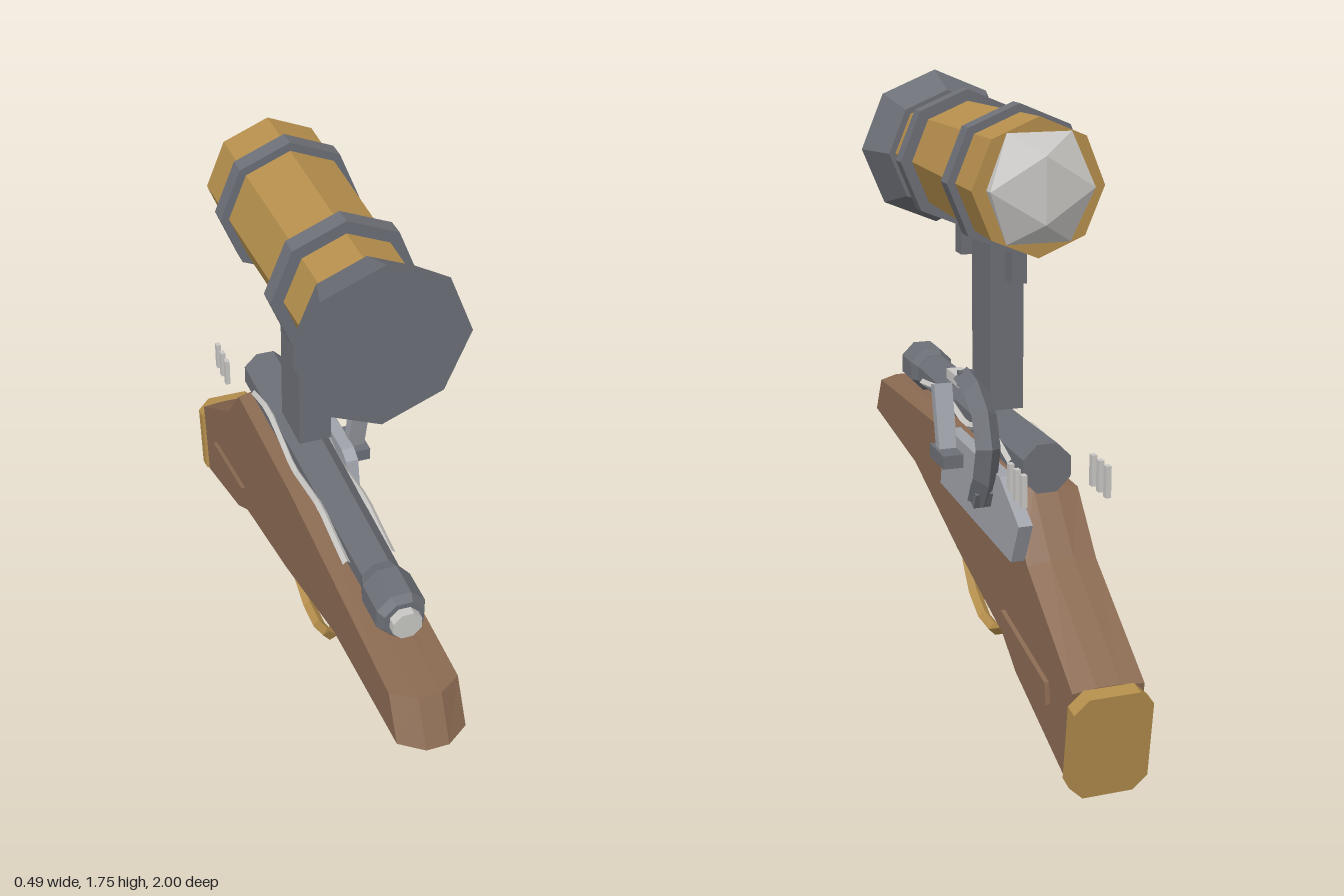
import * as THREE from 'three';

const mat = (name, color) => Object.assign(new THREE.MeshStandardMaterial({ color, flatShading: true }), { name });

export function createModel() {
  const model = new THREE.Group();
  model.name = 'scopedFlintlock';
  const wood = mat('wood', 0x8a6a52), brass = mat('brass', 0xb48e4c), steel = mat('darkSteel', 0x6c6f76);
  const plate = mat('lightSteel', 0xa0a3ab), silver = mat('silver', 0xc8c7c4);

  const add = (name, geo, material, x = 0, y = 0, z = 0) => {
    const mesh = new THREE.Mesh(geo, material);
    mesh.name = name;
    mesh.position.set(x, y, z);
    model.add(mesh);
    return mesh;
  };
  const box = (name, material, w, h, d, x, y, z) => add(name, new THREE.BoxGeometry(w, h, d), material, x, y, z);
  // eight-sided piece along z, from z0 (back) to z1 (front)
  const octagon = (name, material, y, z0, r0, z1, r1, turn = 0) =>
    add(name, new THREE.CylinderGeometry(r1, r0, z1 - z0, 8).rotateY(turn).rotateX(Math.PI / 2), material, 0, y, (z0 + z1) / 2);
  // side profile of [z, y] points, extruded across x and centred on it
  const profile = (points, width, steps = 1) => {
    const shape = new THREE.Shape(points.map(p => new THREE.Vector2(...p)));
    return new THREE.ExtrudeGeometry(shape, { depth: width, steps, bevelEnabled: false })
      .translate(0, 0, -width / 2).rotateY(-Math.PI / 2);
  };
  const tube = (name, material, points, radius, segments) => {
    const curve = new THREE.CatmullRomCurve3(points.map(p => new THREE.Vector3(...p)));
    return add(name, new THREE.TubeGeometry(curve, segments, radius, 4), material);
  };

  // Wooden stock: outer layers pulled in to chamfer the nose and long edges
  const stock = profile([
    [1, 0.52], [0.93, 0.65], [0.04, 0.695], [-0.48, 0.695], [-0.62, 0.53], [-0.955, 0.31],
    [-0.915, 0.035], [-0.53, 0.16], [-0.42, 0.23], [0, 0.33], [0.46, 0.47],
  ], 0.2, 3);
  const pos = stock.attributes.position;
  for (let i = 0; i < pos.count; i++) {
    if (Math.abs(pos.getX(i)) < 0.09) continue;
    const z = pos.getZ(i), mid = 0.51 + 0.215 * z - 0.145 * z * z;
    pos.setY(i, mid + (pos.getY(i) - mid) * 0.95);
    if (z > 0.8) pos.setZ(i, z - 0.045);
  }
  stock.computeVertexNormals();
  add('stock', stock, wood);
  for (const s of [1, -1]) {
    add('stockInlay', profile([[-0.44, 0.32], [-0.5, 0.27], [-0.8, 0.2], [-0.79, 0.26]], 0.03), wood, s * 0.098);
  }

  // Butt plate with cut corners
  const butt = new THREE.Shape([
    [-0.11, -0.11], [-0.07, -0.15], [0.07, -0.15], [0.11, -0.11],
    [0.11, 0.11], [0.07, 0.15], [-0.07, 0.15], [-0.11, 0.11],
  ].map(p => new THREE.Vector2(...p)));
  add('buttPlate', new THREE.ExtrudeGeometry(butt, { depth: 0.045, bevelEnabled: false }).translate(0, 0, -0.0225),
    brass, 0, 0.157, -0.958).rotation.x = -0.13;

  // Barrel and muzzle
  const flat = Math.PI / 8;
  octagon('barrel', steel, 0.75, -0.5, 0.076, 0.6, 0.06, flat);
  octagon('muzzleNeck', steel, 0.75, 0.56, 0.062, 0.6, 0.076, flat);
  octagon('muzzle', steel, 0.75, 0.6, 0.076, 0.71, 0.076, flat);
  octagon('muzzleLip', steel, 0.75, 0.71, 0.076, 0.735, 0.062, flat);
  octagon('muzzleTip', silver, 0.75, 0.73, 0.045, 0.762, 0.045, flat);

  // Wavy ornament and pins on both sides
  for (const s of [1, -1]) {
    tube('barrelOrnament', silver, [
      [0.47, 0.745], [0.38, 0.757], [0.25, 0.775], [0.1, 0.752], [0, 0.737],
      [-0.12, 0.762], [-0.25, 0.778], [-0.4, 0.742],
    ].map(([z, y]) => [s * 0.068, y, z]), 0.012, 14);
    for (const z of [-0.54, -0.59, -0.64]) box('pin', silver, 0.015, 0.09, 0.02, s * 0.12, 0.745, z);
  }

  // Scope
  const sy = 1.51;
  octagon('scopeTube', brass, sy, -0.42, 0.19, 0.4, 0.17);
  octagon('scopeBell', steel, sy, 0.395, 0.19, 0.53, 0.243);
  for (const z of [0.22, -0.24]) {
    octagon('scopeRing', steel, sy, z - 0.028, 0.21, z + 0.028, 0.21);
    box('ringLug', steel, 0.045, 0.14, 0.06, 0, 1.29, z);
  }
  add('scopeLens', new THREE.IcosahedronGeometry(0.175, 0).scale(1, 1, 0.37), silver, 0, sy, -0.42);
  box('scopePost', steel, 0.1, 0.56, 0.17, 0, 1.105, -0.083);

  // Lock: side plate, pan, striking plate, hammer and flint
  add('lockPlate', profile([
    [0.05, 0.542], [0.01, 0.72], [-0.03, 0.74], [-0.5, 0.74], [-0.655, 0.65], [-0.595, 0.528],
  ], 0.04), plate, 0.118);
  box('pan', steel, 0.07, 0.04, 0.135, 0.165, 0.685, -0.115);
  box('strikingPlate', plate, 0.055, 0.21, 0.035, 0.163, 0.785, -0.075).rotation.x = 0.25;
  tube('hammer', steel, [
    [0.165, 0.65, -0.41], [0.165, 0.8, -0.485], [0.16, 0.925, -0.41], [0.16, 0.962, -0.27],
  ], 0.036, 5);
  box('hammerHead', steel, 0.045, 0.045, 0.02, 0.16, 0.962, -0.275);
  box('hammerFoot', steel, 0.05, 0.05, 0.05, 0.165, 0.665, -0.42).rotation.x = -0.45;
  box('flint', silver, 0.045, 0.03, 0.11, 0.16, 0.95, -0.22);

  // Trigger and guard
  tube('trigger', plate, [[0, 0.35, 0.01], [0, 0.28, -0.035], [0, 0.195, 0]], 0.016, 3);
  add('triggerGuard', new THREE.TorusGeometry(0.232, 0.02, 4, 7, Math.PI).rotateZ(Math.PI).rotateY(Math.PI / 2),
    brass, 0, 0.31, -0.01);
  for (const z of [0.222, -0.242]) box('guardEnd', brass, 0.03, 0.02, 0.028, 0, 0.312, z);

  return model;
}
